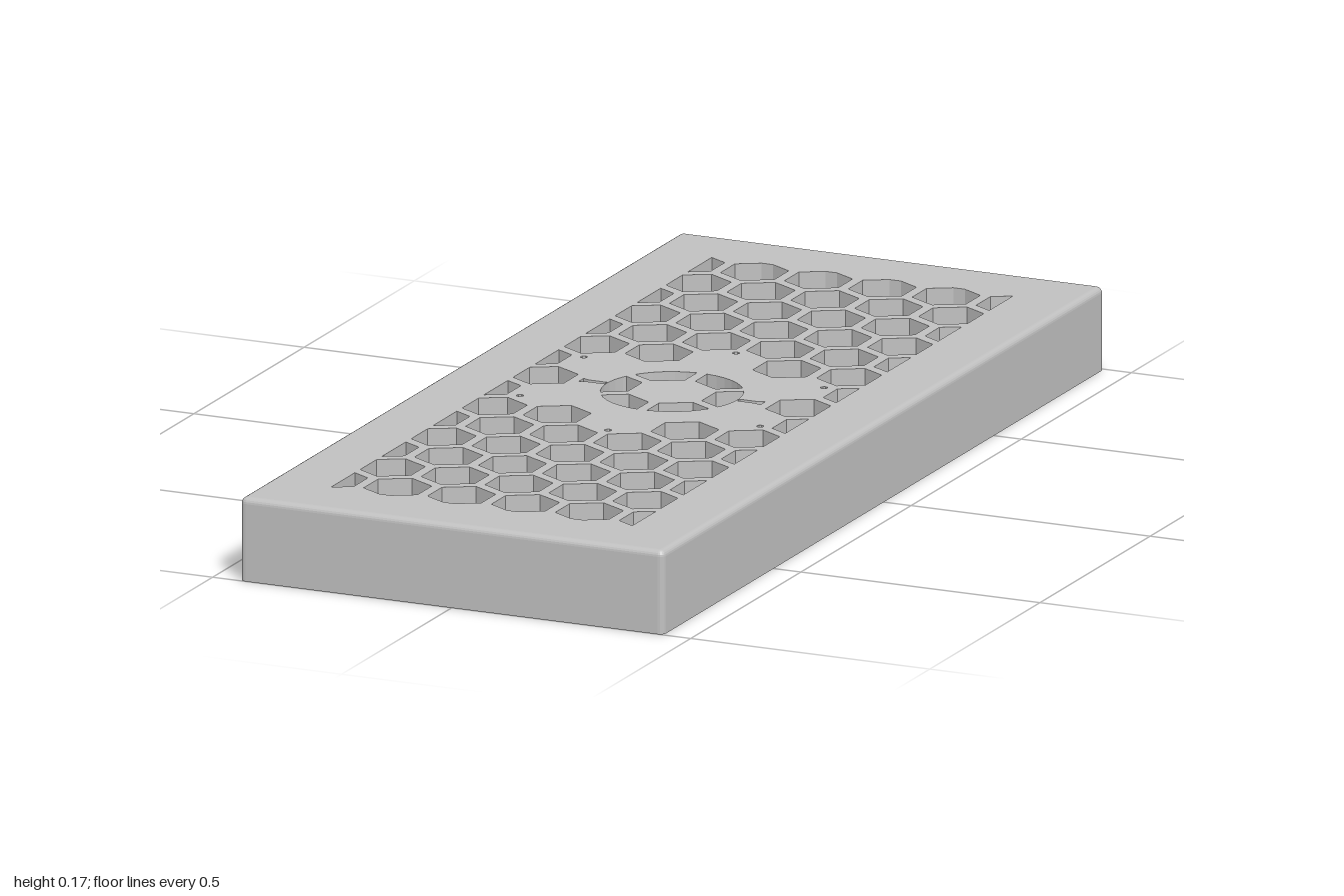
import * as THREE from 'three';

const W = 0.443, L = 1, H = 0.165;        // half width, half length, height
const WALL = 0.02, PLATE = 0.035, R = 0.012;
const PITCH = 0.1336, ROW = PITCH * Math.sqrt(3) / 2, HEX = 0.065;
const RING = 0.136;

const grey = new THREE.MeshStandardMaterial({ color: 0xc0c0c0 });
grey.name = 'light grey';

// Regular polygon outline
function polygon(cx, cy, r, n, start = 0) {
  return Array.from({ length: n }, (_, i) => {
    const a = start + i * 2 * Math.PI / n;
    return new THREE.Vector2(cx + r * Math.cos(a), cy + r * Math.sin(a));
  });
}

// Keep the part of a convex outline where p . n <= d
function clip(points, nx, ny, d) {
  const out = [];
  points.forEach((p, i) => {
    const q = points[(i + 1) % points.length];
    const a = p.x * nx + p.y * ny - d, b = q.x * nx + q.y * ny - d;
    if (a <= 0) out.push(p);
    if (a * b < 0) out.push(p.clone().lerp(q, a / (a - b)));
  });
  return out;
}

// Rounded rectangle outline, inset from the outer size
function outline(inset) {
  const r = Math.max(R - inset, 0.0008), pts = [];
  const x = W - inset - r, y = L - inset - r;
  [[1, 1], [-1, 1], [-1, -1], [1, -1]].forEach(([sx, sy], k) => {
    for (let i = 0; i <= 4; i++) {
      const a = (k + i / 4) * Math.PI / 2;
      pts.push(new THREE.Vector2(sx * x + r * Math.cos(a), sy * y + r * Math.sin(a)));
    }
  });
  return pts;
}

// Walls: inner face, bottom rim, outer face and rounded top edge
function wallGeometry() {
  const profile = [[WALL, H - PLATE], [WALL, 0], [0, 0]];
  for (let i = 0; i <= 5; i++) {
    const a = i / 5 * Math.PI / 2;
    profile.push([R * (1 - Math.cos(a)), H - R + R * Math.sin(a)]);
  }
  const pos = [], index = [], n = 20;
  profile.forEach(([inset, y]) => outline(inset).forEach(p => pos.push(p.x, y, -p.y)));
  for (let i = 0; i < profile.length - 1; i++) {
    for (let j = 0; j < n; j++) {
      const a = i * n + j, b = i * n + (j + 1) % n;
      index.push(a, b, b + n, a, b + n, a + n);
    }
  }
  const g = new THREE.BufferGeometry();
  g.setAttribute('position', new THREE.Float32BufferAttribute(pos, 3));
  g.setIndex(index);
  const flat = g.toNonIndexed();
  flat.computeVertexNormals();
  return flat;
}

// All openings in the top plate
function ventHoles() {
  const holes = [];
  for (let row = -7; row <= 7; row++) {
    for (let col = -3; col <= 3; col++) {
      const x = (col + (row % 2 ? 0.5 : 0)) * PITCH, y = row * ROW;
      const d = Math.hypot(x, y);
      if (d < 0.01) continue;                       // solid hub
      let p = polygon(x, y, HEX, 6, Math.PI / 6);
      if (d < PITCH * 1.1) {                        // six openings trimmed to a circle
        for (let k = 0; k < 40; k++) {
          const a = k * Math.PI / 20;
          p = clip(p, Math.cos(a), Math.sin(a), RING);
        }
      } else if (d < PITCH * 1.9) {                 // solid collar
        continue;
      }
      // blank the collar's six outer points
      if (Math.abs(d - PITCH * Math.sqrt(3)) < 0.01) continue;
      for (const s of [-1, 1]) {
        p = clip(p, s, 0, 0.315);
        p = clip(p, 0, s, 0.868);
      }
      if (p.length > 2) holes.push(p);
    }
  }
  // Side slots
  for (const s of [-1, 1]) {
    holes.push([[0.139, 0.006], [0.175, 0.006], [0.19, 0.011], [0.19, -0.011], [0.175, -0.006], [0.139, -0.006]]
      .map(([x, y]) => new THREE.Vector2(s * x, y)));
  }
  return holes;
}

const screwSpots = polygon(0, 0, 0.29, 6, Math.PI / 6);

function extrude(points, holes, depth, y) {
  const shape = new THREE.Shape(points);
  holes.forEach(h => shape.holes.push(new THREE.Path(h)));
  const g = new THREE.ExtrudeGeometry(shape, { depth, bevelEnabled: false, curveSegments: 1 });
  return g.rotateX(-Math.PI / 2).translate(0, y, 0);
}

export function createModel() {
  const model = new THREE.Group();
  model.name = 'ventedCover';
  const add = (name, geometry) => {
    const m = new THREE.Mesh(geometry, grey);
    m.name = name;
    model.add(m);
    return m;
  };

  add('walls', wallGeometry());

  // Perforated top
  const screwHoles = screwSpots.map(p => polygon(p.x, p.y, 0.007, 8));
  add('ventPlate', extrude(outline(R), [...ventHoles(), ...screwHoles], PLATE, H - PLATE));

  // Underside collar and screw bosses
  add('centreCollar', extrude(polygon(0, 0, RING + 0.018, 40), [polygon(0, 0, RING + 0.002, 40)], 0.025, H - PLATE - 0.025));
  screwSpots.forEach(p => add('screwBoss',
    extrude(polygon(p.x, p.y, 0.022, 16), [polygon(p.x, p.y, 0.007, 8)], 0.025, H - PLATE - 0.025)));

  // Snap bumps on the inside of the long walls
  for (const sx of [-1, 1]) {
    for (const sz of [-1, 1]) {
      add('snapBump', new THREE.SphereGeometry(0.014, 16, 10))
        .position.set(sx * (W - WALL), 0.075, sz * 0.67);
    }
  }
  return model;
}
